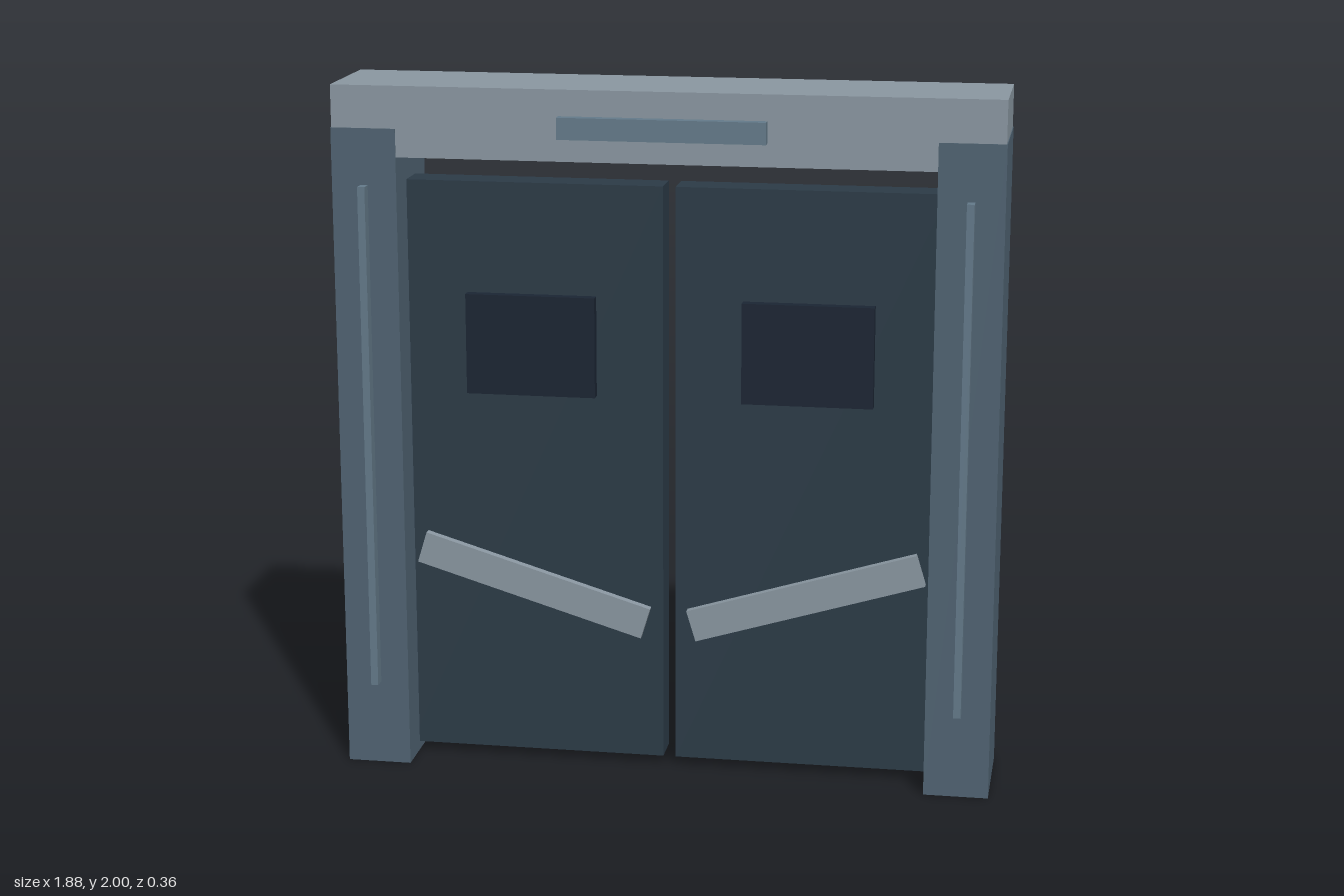
import * as THREE from 'three';

const material = (color) => new THREE.MeshStandardMaterial({ color });

export function createModel() {
  const model = new THREE.Group();
  const frameMat = material(0x506372);
  const headerMat = material(0x8a97a1);
  const doorMat = material(0x2c3b47);
  const windowMat = material(0x1b2533);
  const lightMat = material(0x647a8a);

  // Box given by its extents on each axis
  function box(name, mat, [x0, x1], [y0, y1], [z0, z1]) {
    const mesh = new THREE.Mesh(new THREE.BoxGeometry(x1 - x0, y1 - y0, z1 - z0), mat);
    mesh.position.set((x0 + x1) / 2, (y0 + y1) / 2, (z0 + z1) / 2);
    mesh.name = name;
    model.add(mesh);
    return mesh;
  }

  // Lintel across the top, with its sign light held just off the face
  box('header', headerMat, [-0.938, 0.938], [1.8, 2], [-0.178, 0.141]);
  box('headerLight', lightMat, [-0.29, 0.29], [1.867, 1.928], [0.15, 0.18]);

  for (const [side, s] of [['left', 1], ['right', -1]]) {
    const span = (a, b) => (s > 0 ? [a, b] : [-b, -a]);

    // Door post, a hair proud of the lintel, and its light strip
    box(side + 'Post', frameMat, span(0.755, 0.94), [0, 1.88], [-0.18, 0.143]);
    box(side + 'PostLight', lightMat, span(0.837, 0.858), [0.25, 1.72], [0.14, 0.178]);

    // Sliding door panel, its edge tucked into the post, with a raised window
    box(side + 'Door', doorMat, span(0.018, 0.775), [0.026, 1.72], [-0.07, 0.03]);
    box(side + 'Window', windowMat, span(0.21, 0.583), [1.11, 1.4], [0.02, 0.06]);

    // Slanted stripe, lower towards the middle
    const stripe = box(side + 'Stripe', headerMat, span(0.052, 0.742), [0.493, 0.587], [0.02, 0.055]);
    stripe.rotation.z = s * 0.295;
  }
  return model;
}
